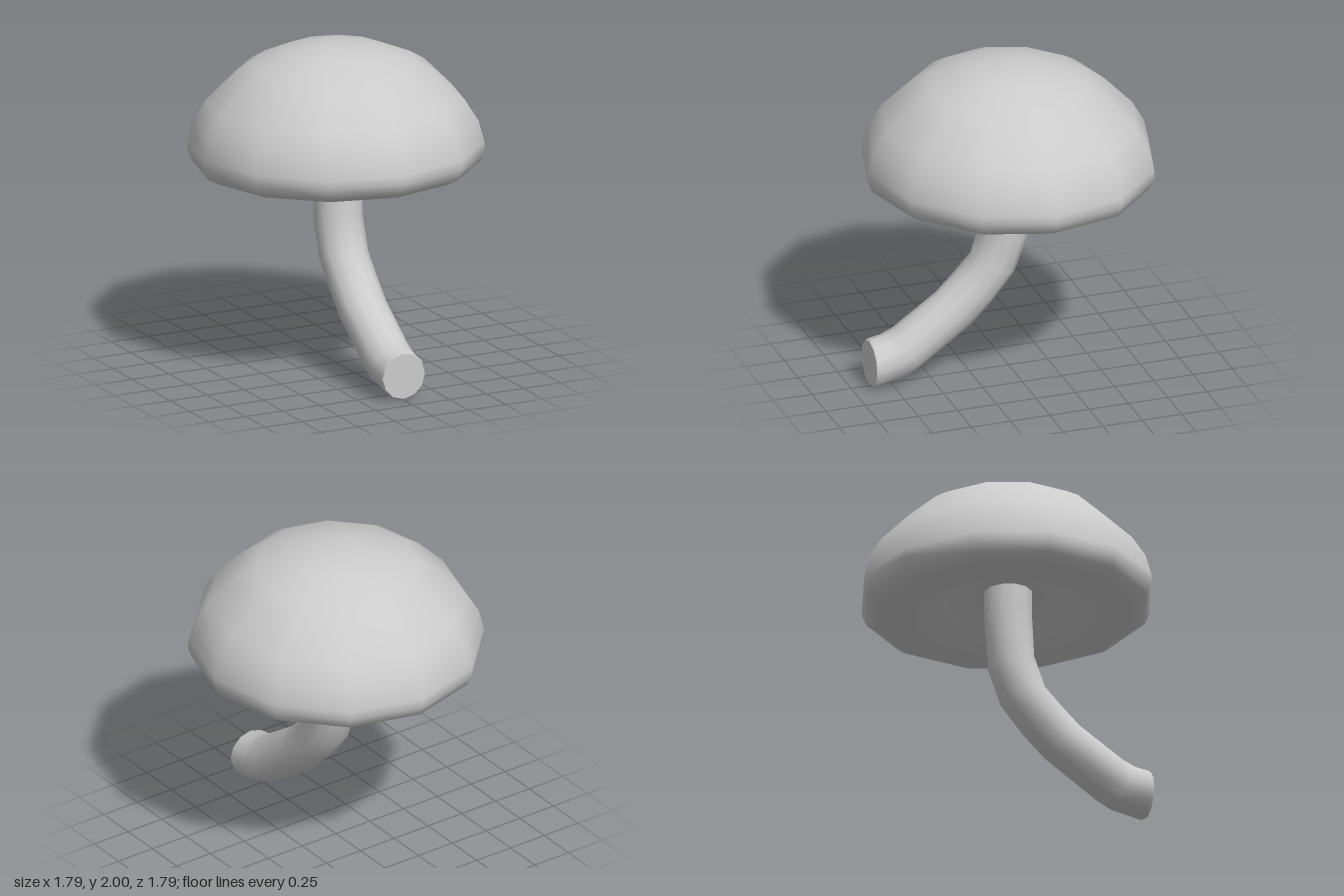
import * as THREE from 'three';
import { mergeVertices } from 'three/addons/utils/BufferGeometryUtils.js';

const SIDES = 12;
const material = new THREE.MeshStandardMaterial({ color: 0xcccccc });

function addMesh(group, geometry, name) {
  const mesh = new THREE.Mesh(geometry, material);
  mesh.name = name;
  group.add(mesh);
  return mesh;
}

// Lathe with its seam and poles welded so the shading is smooth all over
function smoothLathe(profile) {
  const geometry = new THREE.LatheGeometry(profile, SIDES);
  geometry.deleteAttribute('uv');
  geometry.deleteAttribute('normal');
  const welded = mergeVertices(geometry);
  welded.computeVertexNormals();
  return welded;
}

// Smooth tube through rings given by their upper and lower edge and half width:
// [zUp, yUp, zLow, yLow, halfWidth]
function bentStem(rings) {
  const positions = [];
  const index = [];
  rings.forEach(([zu, yu, zl, yl, half = 0.15], r) => {
    for (let i = 0; i < SIDES; i++) {
      const a = (i / SIDES) * Math.PI * 2;
      const c = Math.cos(a) / 2;
      positions.push(half * Math.sin(a), (yu + yl) / 2 + c * (yu - yl), (zu + zl) / 2 + c * (zu - zl));
      if (r === 0) continue;
      const j = (i + 1) % SIDES;
      const p = (r - 1) * SIDES, q = r * SIDES;
      index.push(p + i, p + j, q + i, p + j, q + j, q + i);
    }
  });
  const geometry = new THREE.BufferGeometry();
  geometry.setAttribute('position', new THREE.Float32BufferAttribute(positions, 3));
  geometry.setIndex(index);
  geometry.computeVertexNormals();
  return geometry;
}

export function createModel() {
  const group = new THREE.Group();
  group.name = 'mushroom';

  // Domed cap with a hollow underside, tipped slightly up at the front
  const pivot = 1.4;
  const profile = [
    [0, 1.375], [0.15, 1.37], [0.27, 1.355], [0.38, 1.3], [0.5, 1.225], [0.62, 1.205],
    [0.8, 1.23], [0.865, 1.265], [0.893, 1.33], [0.893, 1.385], [0.86, 1.515], [0.78, 1.645],
    [0.6, 1.825], [0.5, 1.885], [0.31, 1.965], [0.15, 1.993], [0, 2],
  ].map(([x, y]) => new THREE.Vector2(x, y - pivot));
  const cap = addMesh(group, smoothLathe(profile), 'cap');
  cap.position.y = pivot;
  cap.rotation.x = -0.024;

  // Stem sweeping from its bevelled front end up into the cap
  const rings = [
    [0.885, 0.292, 0.885, 0.008, 0.142], [0.873, 0.3, 0.865, 0, 0.149],
    [0.8, 0.312, 0.67, 0.045], [0.72, 0.347, 0.59, 0.088],
    [0.45, 0.535, 0.25, 0.33], [0.345, 0.64, 0.11, 0.472], [0.238, 0.755, -0.033, 0.652],
    [0.17, 0.945, -0.11, 0.87], [0.157, 1.2, -0.135, 1.2], [0.155, 1.42, -0.14, 1.42],
  ];
  addMesh(group, bentStem(rings), 'stem');

  // Flat cut face of the stem
  const cut = addMesh(group, new THREE.CircleGeometry(0.142, SIDES), 'stemEnd');
  cut.position.set(0, 0.15, 0.885);
  return group;
}
